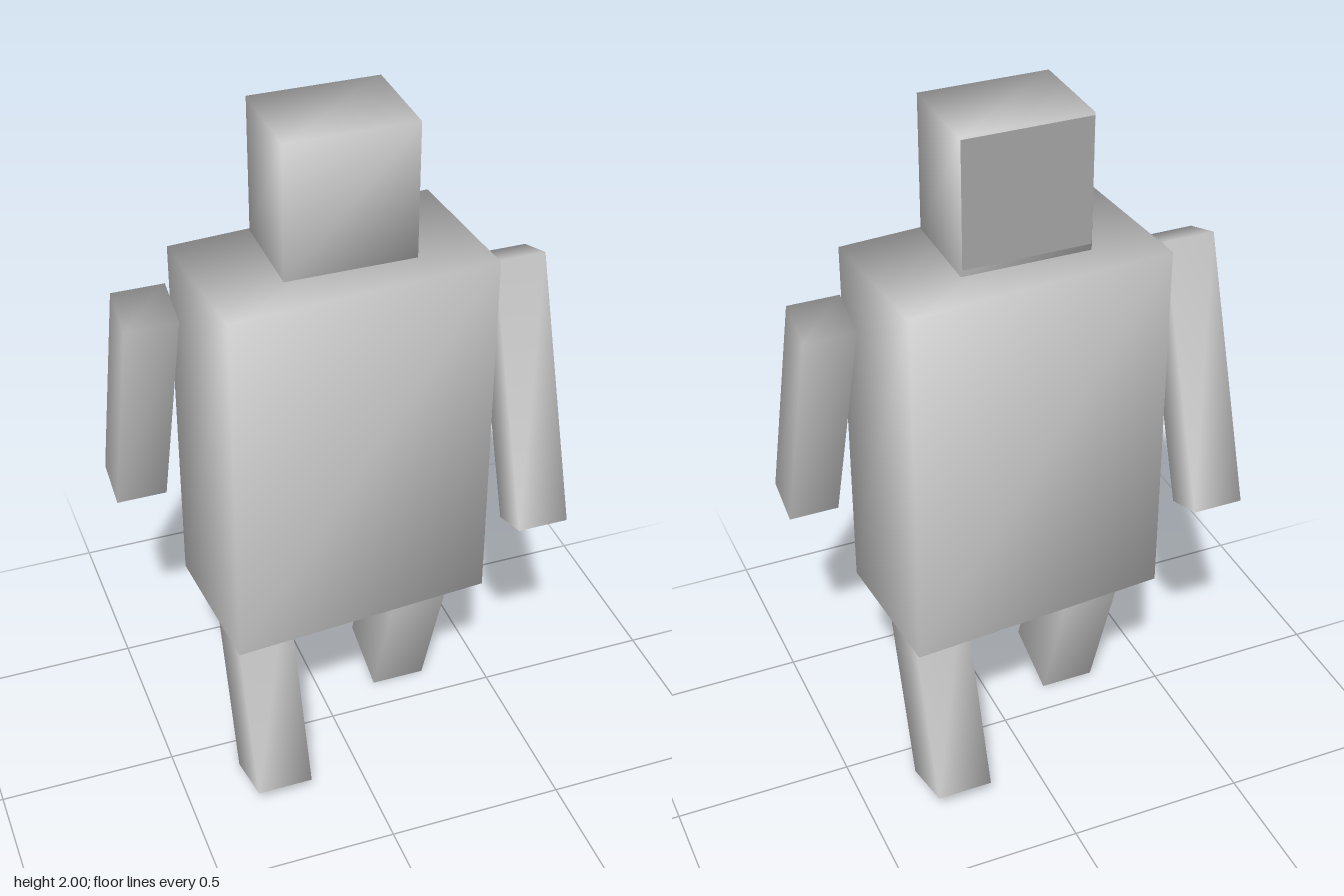
import * as THREE from 'three';
import { mergeVertices } from 'three/addons/utils/BufferGeometryUtils.js';

export function createModel() {
  const model = new THREE.Group();
  model.name = 'blockFigure';

  const bodyGrey = new THREE.MeshStandardMaterial({ color: 0xcccccc });
  bodyGrey.name = 'bodyGrey';
  const faceGrey = new THREE.MeshStandardMaterial({ color: 0xa4a4a4 });
  faceGrey.name = 'faceGrey';

  // Box with corners shared by its three sides, so the shading is smooth
  function softBox(name, w, h, d, x, y, z) {
    let geo = new THREE.BoxGeometry(w, h, d);
    geo.deleteAttribute('normal');
    geo.deleteAttribute('uv');
    geo = mergeVertices(geo);
    geo.computeVertexNormals();
    const mesh = new THREE.Mesh(geo, bodyGrey);
    mesh.name = name;
    mesh.position.set(x, y, z);
    model.add(mesh);
    return mesh;
  }

  // Torso, twisted a little by the stride
  const torso = softBox('torso', 0.733, 1.044, 0.412, 0, 1.078, 0);
  torso.rotation.y = 0.075;

  // Head floating above the torso
  softBox('head', 0.35, 0.37, 0.27, 0, 1.815, 0);

  // Flat face plate on the back of the head
  const plate = new THREE.Mesh(new THREE.PlaneGeometry(0.345, 0.345), faceGrey);
  plate.name = 'facePlate';
  plate.position.set(0, 1.822, -0.139);
  plate.rotation.y = Math.PI;
  model.add(plate);

  // Arms and legs swing in opposite directions
  for (const [side, s] of [['left', 1], ['right', -1]]) {
    const arm = softBox(side + 'Arm', 0.14, 0.741, 0.128, s * 0.49, s > 0 ? 1.16 : 1.193, s * 0.126);
    arm.rotation.x = -s * 0.335;
    const leg = softBox(side + 'Leg', 0.157, 0.6, 0.202, s * 0.245, 0.321, -s * 0.0925);
    leg.rotation.x = s * 0.33;
  }

  return model;
}
